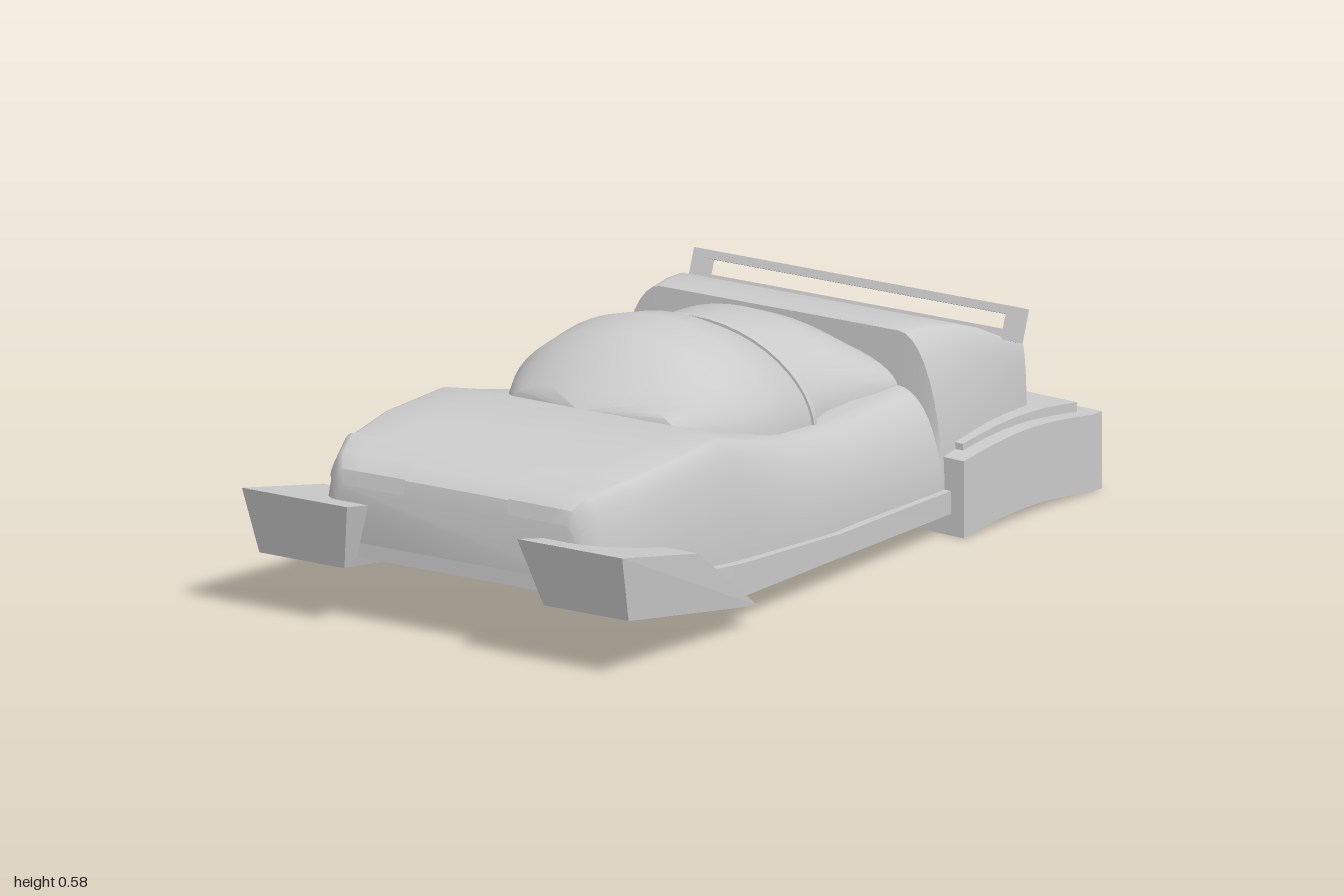
import * as THREE from 'three';
import { toCreasedNormals } from 'three/addons/utils/BufferGeometryUtils.js';
import { ConvexGeometry } from 'three/addons/geometries/ConvexGeometry.js';

const grey = new THREE.MeshStandardMaterial({ color: 0xcccccc });
const greyThin = new THREE.MeshStandardMaterial({ color: 0xcccccc, side: THREE.DoubleSide });

function add(parent, name, geometry, material = grey) {
  const mesh = new THREE.Mesh(geometry, material);
  mesh.name = name;
  parent.add(mesh);
  return mesh;
}

// Skin over cross-sections (front to back, each running +x, up, -x); closed ones get end caps
function loft(sections, closed = true, crease = 0.6) {
  const n = sections[0].length, pos = sections.flat(2), index = [];
  for (let i = 0; i < sections.length - 1; i++) {
    for (let j = 0; j < (closed ? n : n - 1); j++) {
      const k = (j + 1) % n;
      const a = i * n + j, b = i * n + k, c = a + n, d = b + n;
      index.push(a, c, b, b, c, d);
    }
  }
  if (closed) {
    const last = (sections.length - 1) * n;
    for (let j = 1; j < n - 1; j++) {
      index.push(0, j, j + 1, last, last + j + 1, last + j);
    }
  }
  const g = new THREE.BufferGeometry();
  g.setAttribute('position', new THREE.Float32BufferAttribute(pos, 3));
  g.setIndex(index);
  return toCreasedNormals(g, crease);
}

const mirrored = half => [...half, ...half.slice(0, -1).reverse().map(([x, y, z]) => [-x, y, z])];

// Body rows: z, base half-width, base y, shoulder half-width, shoulder y, centre y
const bodyRows = [
  [0.9, 0.34, 0.2, 0.3, 0.33, 0.33],
  [0.893, 0.355, 0.2, 0.31, 0.365, 0.367],
  [0.86, 0.385, 0.19, 0.33, 0.393, 0.397],
  [0.77, 0.42, 0.18, 0.365, 0.413, 0.418],
  [0.6, 0.44, 0.16, 0.38, 0.427, 0.435],
  [0.38, 0.445, 0.14, 0.37, 0.43, 0.437],
  [0.25, 0.447, 0.13, 0.358, 0.395, 0.4],
  [0.1, 0.45, 0.12, 0.345, 0.36, 0.36],
  [-0.1, 0.45, 0.12, 0.335, 0.335, 0.335],
  [-0.448, 0.45, 0.11, 0.33, 0.345, 0.345],
  [-0.452, 0.45, 0.11, 0.33, 0.475, 0.475],
  [-0.53, 0.45, 0.11, 0.345, 0.475, 0.475],
  [-0.61, 0.45, 0.11, 0.37, 0.462, 0.462],
  [-0.68, 0.45, 0.11, 0.395, 0.437, 0.437],
  [-0.75, 0.45, 0.11, 0.42, 0.4, 0.4],
  [-0.815, 0.445, 0.11, 0.43, 0.375, 0.375],
];

// Half section: elliptical flank from angle a0 up to the shoulder, then across to xEnd
function bodyHalf([z, wb, yb, wt, yt, yc], a0 = 0, xEnd = 0) {
  const pts = [];
  for (let i = 0; i <= 10; i++) {
    const a = a0 + (Math.PI / 2 - a0) * i / 10;
    pts.push([wt + (wb - wt) * Math.cos(a), yb + (yt - yb) * Math.sin(a), z]);
  }
  for (let i = 1; i <= 4; i++) {
    const x = wt + (xEnd - wt) * i / 4;
    pts.push([x, yc + (yt - yc) * (x / wt) ** 2, z]);
  }
  return pts;
}

// Domed section: z, half-width, base y, top y
function domeSection([z, w, yb, yt]) {
  const half = [];
  for (let i = 0; i <= 12; i++) {
    const a = Math.PI / 2 * i / 12;
    half.push([w * Math.cos(a), yb + (yt - yb) * Math.sin(a) ** 1.12, z]);
  }
  return mirrored(half);
}

// Flat-sided section: z, half-width, bottom y, top y
const slabSection = ([z, w, y0, y1]) => [[w, y0, z], [w, y1, z], [-w, y1, z], [-w, y0, z]];

// Rectangular frame around a rectangular opening
function frame(x, y0, y1, hx, hy0, hy1, depth) {
  const rect = (P, w, a, b) => {
    const s = new P();
    s.moveTo(-w, a); s.lineTo(w, a); s.lineTo(w, b); s.lineTo(-w, b); s.closePath();
    return s;
  };
  const shape = rect(THREE.Shape, x, y0, y1);
  shape.holes.push(rect(THREE.Path, hx, hy0, hy1));
  return new THREE.ExtrudeGeometry(shape, { depth, bevelEnabled: false });
}

// Rear pod with arched top and bottom, raised pad and recessed exhaust
function rearPod(side) {
  const pod = new THREE.Group();
  pod.name = side > 0 ? 'leftRearPod' : 'rightRearPod';
  const sections = [], pad = [];
  for (let i = 0; i <= 10; i++) {
    const t = i / 10, arch = Math.sin(Math.PI * t);
    sections.push(slabSection([0.26 - 0.48 * t, 0.147, 0.003 + 0.02 * arch, 0.188 + 0.022 * arch]));
    pad.push(slabSection([0.21 - 0.43 * t, 0.105, 0.17, 0.211 + 0.018 * arch]));
  }
  add(pod, 'podShell', loft(sections));
  add(pod, 'podPad', loft(pad));
  add(pod, 'exhaustFrame', frame(0.147, 0.003, 0.188, 0.095, 0.065, 0.145, 0.04)).position.z = -0.26;
  pod.position.set(0.379 * side, 0, -0.7275);
  pod.rotation.y = -0.075 * side;
  return pod;
}

export function createModel() {
  const car = new THREE.Group();
  car.name = 'hoverCar';

  add(car, 'chassis', loft([
    [0.9, 0.38, 0.165, 0.2], [0.55, 0.465, 0.095, 0.165], [0.4, 0.467, 0.068, 0.148],
    [0, 0.468, 0.063, 0.12], [-0.46, 0.468, 0.055, 0.11], [-0.87, 0.43, 0.055, 0.11],
  ].map(slabSection), true, 0.3));

  add(car, 'body', loft(bodyRows.map(r => mirrored(bodyHalf(r)))));

  // Canopy glass in two bubbles with a rib between
  add(car, 'frontCanopy', loft([
    [0.38, 0.02, 0.425, 0.437], [0.33, 0.23, 0.4, 0.476], [0.25, 0.285, 0.385, 0.535],
    [0.18, 0.325, 0.37, 0.572], [0.07, 0.345, 0.35, 0.587], [-0.03, 0.335, 0.335, 0.568],
    [-0.1, 0.325, 0.33, 0.535],
  ].map(domeSection)));
  add(car, 'canopyRib', loft([[-0.094, 0.333, 0.33, 0.545], [-0.108, 0.333, 0.33, 0.545]].map(domeSection)));
  add(car, 'rearCanopy', loft([
    [-0.1, 0.32, 0.33, 0.527], [-0.2, 0.297, 0.33, 0.526], [-0.3, 0.305, 0.335, 0.518],
    [-0.38, 0.325, 0.34, 0.488], [-0.46, 0.33, 0.34, 0.432],
  ].map(domeSection)));

  // Tilted slotted rear wing
  const wing = add(car, 'rearWing', frame(0.445, 0, 0.08, 0.42, 0.025, 0.06, 0.057));
  wing.position.set(0, 0.378, -0.795);
  wing.rotation.x = -0.35;

  for (const side of [1, -1]) {
    const label = side > 0 ? 'left' : 'right';
    // Headlight cover lying just above the nose
    const cover = bodyRows.slice(0, 4).map(r =>
      bodyHalf(r, 0.8, 0.14).map(([x, y, z]) => [(x + 0.003) * side, y + 0.004, z + 0.003]));
    add(car, label + 'Headlight', loft(side > 0 ? cover : cover.map(s => s.reverse()), false), greyThin);

    // Wedge-shaped front winglet
    add(car, label + 'FrontWinglet', new ConvexGeometry([
      [0.235, 0.315, 1], [0.525, 0.315, 1], [0.275, 0.15, 0.95], [0.51, 0.15, 0.95],
      [0.26, 0.245, 0.67], [0.518, 0.245, 0.67], [0.32, 0.055, 0.41], [0.51, 0.055, 0.41],
    ].map(([x, y, z]) => new THREE.Vector3(x * side, y, z))));

    car.add(rearPod(side));
  }
  return car;
}
